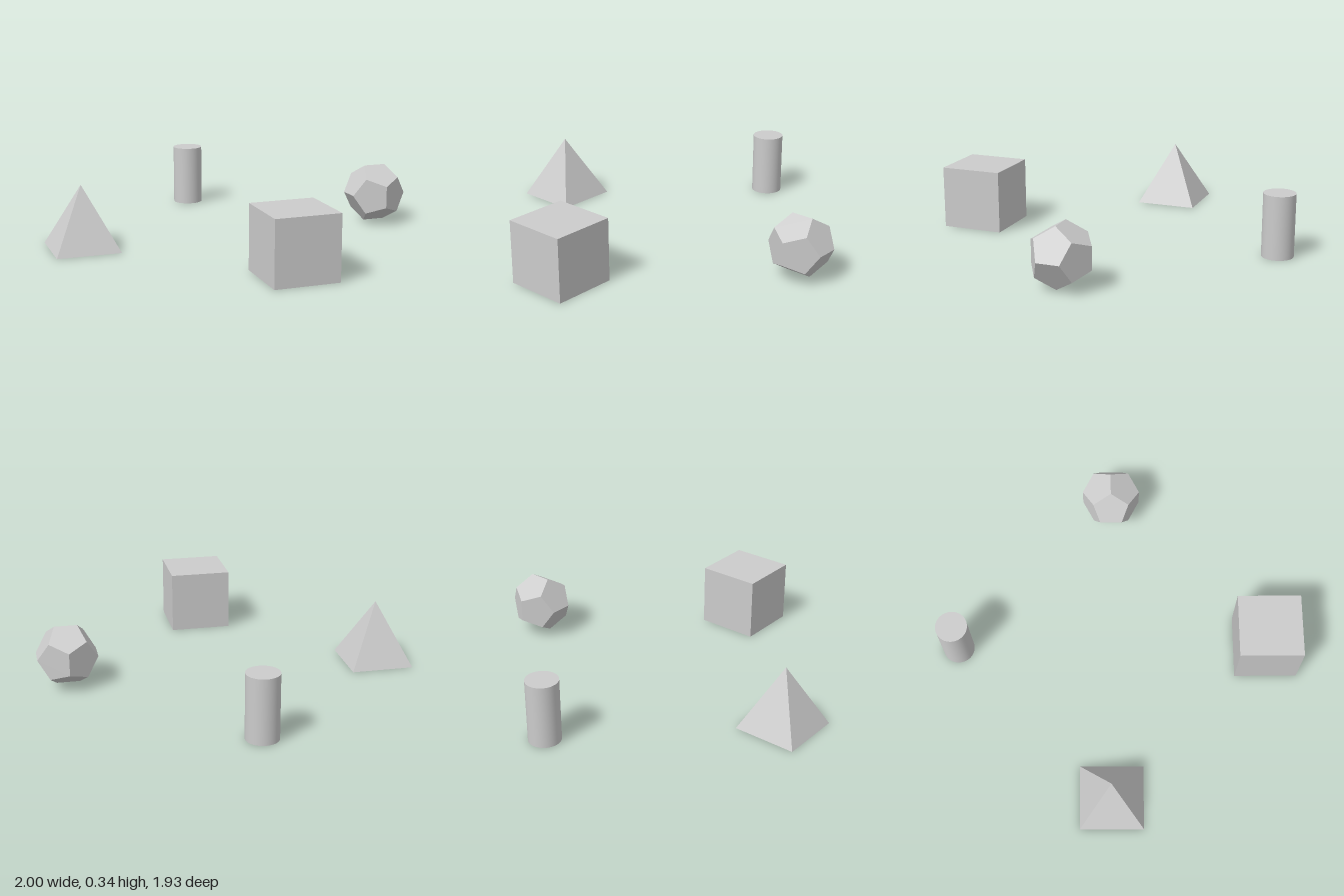
import * as THREE from 'three';

const S = 0.3352;          // edge length shared by the solids
const R = 2.5 * S;         // distance of each solid from the ring's middle
const CX = 0.0056, CZ = -0.0419; // middle of the ring

export function createModel() {
  const group = new THREE.Group();
  const smooth = new THREE.MeshStandardMaterial({ color: 0xcccccc });
  const flat = new THREE.MeshStandardMaterial({ color: 0xcccccc, flatShading: true });

  // Places a solid on the ring, at half height
  const add = (name, geometry, material, dx, dz) => {
    const mesh = new THREE.Mesh(geometry, material);
    mesh.name = name;
    mesh.position.set(CX + dx * R, S / 2, CZ + dz * R);
    group.add(mesh);
  };

  // Front: cube
  add('cube', new THREE.BoxGeometry(S, S, S), flat, 0, 1);

  // Back: upright cylinder
  add('cylinder', new THREE.CylinderGeometry(S / 4, S / 4, S, 48), smooth, 0, -1);

  // Right: square pyramid with its sides along the axes
  const pyramid = new THREE.ConeGeometry(S / Math.SQRT2, S, 4).rotateY(Math.PI / 4);
  add('pyramid', pyramid, flat, -1, 0);

  // Left: dodecahedron
  add('dodecahedron', new THREE.DodecahedronGeometry(S / 2), flat, 1, 0);

  return group;
}
